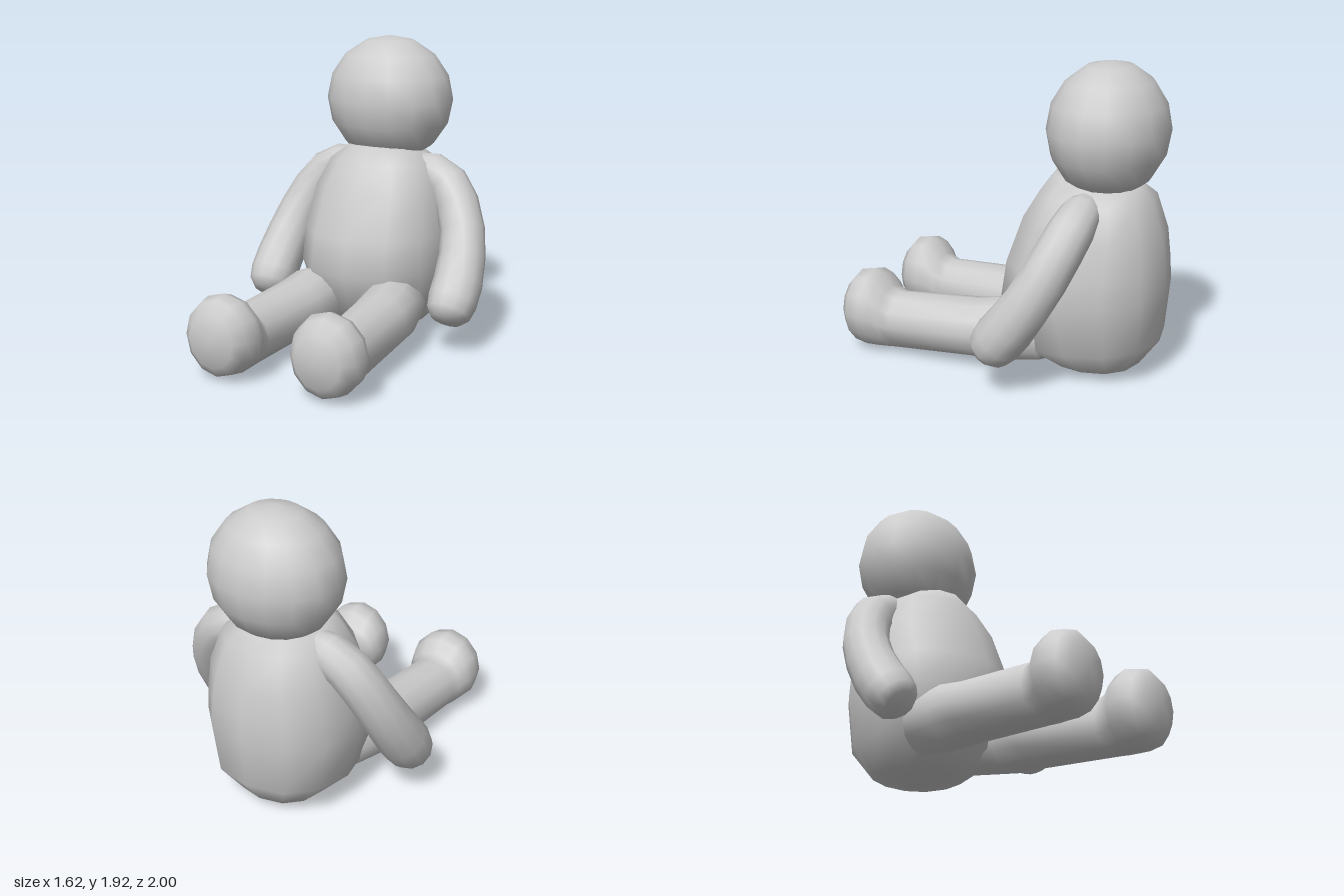
import * as THREE from 'three';

const V = (x, y, z) => new THREE.Vector3(x, y, z);
const material = new THREE.MeshStandardMaterial({ color: 0xcccccc });

// Smooth skin over rings { c, u, v } (u x v points along the travel), closed by two poles.
function loft(rings, start, end, sides, power = 1) {
  const pos = [...start.toArray()], index = [];
  const soft = (a) => Math.sign(a) * Math.pow(Math.abs(a), power);
  for (const { c, u, v } of rings) {
    for (let i = 0; i < sides; i++) {
      const a = (i / sides) * Math.PI * 2;
      const p = c.clone().addScaledVector(u, soft(Math.cos(a))).addScaledVector(v, soft(Math.sin(a)));
      pos.push(p.x, p.y, p.z);
    }
  }
  pos.push(...end.toArray());
  const last = 1 + rings.length * sides, top = last - sides;
  for (let i = 0; i < sides; i++) {
    const j = (i + 1) % sides;
    index.push(0, 1 + j, 1 + i, last, top + i, top + j);
    for (let r = 0; r < rings.length - 1; r++) {
      const a = 1 + r * sides, b = a + sides;
      index.push(a + i, a + j, b + j, a + i, b + j, b + i);
    }
  }
  const g = new THREE.BufferGeometry();
  g.setAttribute('position', new THREE.Float32BufferAttribute(pos, 3));
  g.setIndex(index);
  g.computeVertexNormals();
  return g;
}

function add(group, name, geometry) {
  const mesh = new THREE.Mesh(geometry, material);
  mesh.name = name;
  group.add(mesh);
  return mesh;
}

// Pear-shaped body, rings as [front y, front z, back y, back z, half width]
function bodyGeometry() {
  const rings = [
    [0.04, -0.30, 0.055, -0.84, 0.27],
    [0.17, -0.07, 0.23, -0.97, 0.43],
    [0.45, 0.035, 0.55, -1.0, 0.49],
    [0.68, 0.0, 0.70, -0.99, 0.475],
    [0.98, -0.11, 0.87, -0.97, 0.435],
    [1.14, -0.21, 1.10, -0.90, 0.35],
    [1.23, -0.28, 1.19, -0.80, 0.22],
  ].map(([yf, zf, yb, zb, w]) => ({
    c: V(0, (yf + yb) / 2, (zf + zb) / 2),
    u: V(0, (yf - yb) / 2, (zf - zb) / 2),
    v: V(w, 0, 0),
  }));
  return loft(rings, V(0, 0, -0.61), V(0, 1.23, -0.55), 12, 0.9);
}

// Leg running forward into an upturned foot, rings as [z, x, y, rx, ry]
function legGeometry(side) {
  const rings = [
    [-0.32, 0.24, 0.26, 0.17, 0.18],
    [-0.05, 0.285, 0.25, 0.20, 0.20],
    [0.12, 0.30, 0.235, 0.195, 0.185],
    [0.65, 0.34, 0.203, 0.18, 0.183],
    [0.71, 0.345, 0.215, 0.192, 0.20],
    [0.76, 0.352, 0.255, 0.22, 0.24],
    [0.83, 0.355, 0.268, 0.236, 0.253],
    [0.92, 0.358, 0.266, 0.212, 0.236],
    [0.98, 0.355, 0.266, 0.15, 0.165],
  ].map(([z, x, y, rx, ry]) => ({ c: V(side * x, y, z), u: V(rx, 0, 0), v: V(0, ry, 0) }));
  return loft(rings, V(side * 0.23, 0.26, -0.36), V(side * 0.355, 0.266, 1.0), 12);
}

// Curved arm swept along a path with a rounded hand
function armGeometry(side) {
  const path = new THREE.CatmullRomCurve3([
    V(0.16, 1.09, -0.56), V(0.39, 1.035, -0.575), V(0.515, 0.90, -0.535),
    V(0.605, 0.70, -0.45), V(0.65, 0.46, -0.30), V(0.648, 0.225, -0.105),
  ].map((p) => p.setX(p.x * side)));
  const stops = [[0, 0.09], [0.14, 0.125], [0.24, 0.135], [0.36, 0.14], [0.5, 0.143],
    [0.64, 0.148], [0.78, 0.156], [0.88, 0.157], [0.95, 0.14], [0.99, 0.095]];
  const rings = stops.map(([t, r]) => {
    const tangent = path.getTangentAt(t);
    const u = tangent.clone().cross(V(0, 0, 1)).normalize();
    const v = tangent.clone().cross(u);
    return { c: path.getPointAt(t), u: u.multiplyScalar(r), v: v.multiplyScalar(r) };
  });
  return loft(rings, path.getPointAt(0), path.getPointAt(1), 12);
}

export function createModel() {
  const model = new THREE.Group();
  model.name = 'seatedDoll';

  // Head: slightly flattened ball
  const head = add(model, 'head', new THREE.SphereGeometry(1, 16, 8));
  head.scale.set(0.42, 0.41, 0.365);
  head.position.set(0, 1.51, -0.61);

  add(model, 'body', bodyGeometry());

  // Limbs, mirrored
  for (const [name, side] of [['left', 1], ['right', -1]]) {
    add(model, name + 'Arm', armGeometry(side));
    add(model, name + 'Leg', legGeometry(side));
  }
  return model;
}
